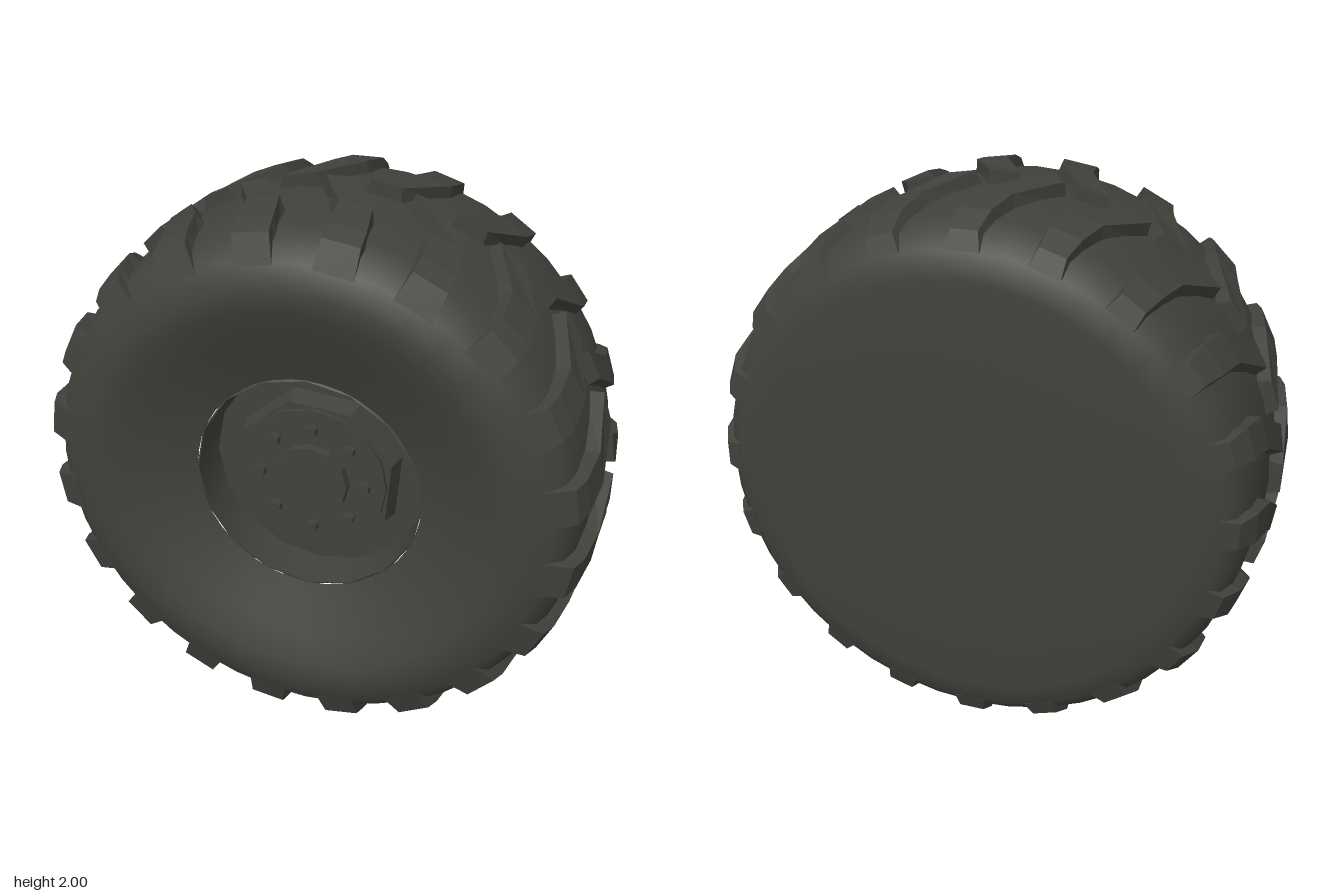
import * as THREE from 'three';
import { toCreasedNormals } from 'three/addons/utils/BufferGeometryUtils.js';

const rubber = new THREE.MeshStandardMaterial({ color: 0x40413b });
rubber.name = 'darkRubber';

function part(name, geometry, parent) {
  const mesh = new THREE.Mesh(geometry, rubber);
  mesh.name = name;
  parent.add(mesh);
  return mesh;
}

// Revolve [radius, z] pairs about the wheel axis (z)
function revolve(profile, segments) {
  const points = profile.map(([r, z]) => new THREE.Vector2(r, z));
  return new THREE.LatheGeometry(points, segments).rotateX(Math.PI / 2);
}

// Cylinder or cone frustum along z, from z0 to z1
function disc(r0, r1, z0, z1, sides, turn = 0) {
  const g = new THREE.CylinderGeometry(r1, r0, z1 - z0, sides);
  g.rotateY(turn).rotateX(Math.PI / 2).translate(0, 0, (z0 + z1) / 2);
  return toCreasedNormals(g, 0.5);
}

// Lug cross-sections from tread centre to shoulder:
// base z, base radius, top z, top radius, angular shift, base and top half-width
const FRONT_LUG = [
  [0, 0.93, 0, 1.0, 0.15, 0.075, 0.052],
  [0.22, 0.92, 0.21, 0.993, 0.03, 0.082, 0.058],
  [0.37, 0.885, 0.35, 0.971, 0.005, 0.082, 0.063],
  [0.452, 0.85, 0.415, 0.945, 0, 0.08, 0.066],
];
// Back lugs fade into the shoulder
const BACK_LUG = [
  [0, 0.93, 0, 1.0, 0.15, 0.075, 0.052],
  [0.22, 0.92, 0.21, 0.988, 0.03, 0.082, 0.058],
  [0.36, 0.885, 0.34, 0.967, 0.005, 0.08, 0.058],
  [0.445, 0.86, 0.42, 0.922, 0, 0.065, 0.05],
];

// Bent tread lug; side is +1 for the front half, -1 for the back half
function lugGeometry(sections, side) {
  const rings = sections.map(([zb, rb, zt, rt, shift, wb, wt]) =>
    [[rb, -wb, zb], [rb, wb, zb], [rt, wt, zt], [rt, -wt, zt]].map(([r, a, z]) =>
      [r * Math.cos(shift + a), r * Math.sin(shift + a), side * z]));
  const pos = [];
  const quad = (a, b, c, d) => {
    const order = side > 0 ? [a, b, c, a, c, d] : [a, c, b, a, d, c];
    order.forEach((p) => pos.push(...p));
  };
  for (let i = 0; i < rings.length - 1; i++) {
    const a = rings[i], b = rings[i + 1];
    for (let j = 0; j < 4; j++) {
      const k = (j + 1) % 4;
      quad(a[j], b[j], b[k], a[k]);
    }
  }
  const first = rings[0], last = rings[rings.length - 1];
  quad(first[0], first[1], first[2], first[3]);
  quad(last[3], last[2], last[1], last[0]);
  const g = new THREE.BufferGeometry();
  g.setAttribute('position', new THREE.Float32BufferAttribute(pos, 3));
  g.computeVertexNormals();
  return g;
}

export function createModel() {
  const model = new THREE.Group();
  model.name = 'tractorWheel';
  const wheel = new THREE.Group();
  wheel.name = 'wheel';
  wheel.position.y = 1;
  model.add(wheel);

  // Tyre body: closed flat back, rounded tread, shallow conical dish in front
  part('tyreBody', revolve([
    [0, -0.475], [0.45, -0.474], [0.77, -0.468], [0.86, -0.442], [0.91, -0.4],
    [0.937, -0.33], [0.95, -0.2], [0.957, 0], [0.95, 0.2], [0.937, 0.33],
    [0.91, 0.4], [0.86, 0.446], [0.77, 0.475], [0.7, 0.465], [0.6, 0.424],
    [0.5, 0.38], [0.41, 0.345],
  ], 40), wheel);

  // Tread lugs: two staggered rings of twenty
  const count = 20, pitch = (Math.PI * 2) / count;
  const lugRings = [['frontLugs', FRONT_LUG, 1, 0.5], ['backLugs', BACK_LUG, -1, 0]];
  for (const [name, sections, side, stagger] of lugRings) {
    const geometry = lugGeometry(sections, side);
    const ring = new THREE.Group();
    ring.name = name;
    wheel.add(ring);
    for (let i = 0; i < count; i++) {
      part('treadLug', geometry, ring).rotation.z = (i + stagger) * pitch;
    }
  }

  // Deep recessed rim: steep wall and flat floor
  part('rim', toCreasedNormals(revolve([
    [0.415, 0.343], [0.408, 0.347], [0.395, 0.2], [0, 0.2],
  ], 16), 0.6), wheel);

  // Hub: octagonal flange, round plate and centre cap
  part('hubFlange', disc(0.315, 0.295, 0.195, 0.272, 8, 0.3), wheel);
  part('hubPlate', disc(0.27, 0.268, 0.25, 0.288, 16), wheel);
  part('hubCap', disc(0.138, 0.135, 0.28, 0.32, 12), wheel);

  // Wheel bolts
  const boltGeometry = disc(0.023, 0.021, 0.28, 0.312, 6);
  for (let i = 0; i < 8; i++) {
    const a = (i * Math.PI) / 4;
    part('wheelBolt', boltGeometry, wheel).position.set(0.193 * Math.cos(a), 0.193 * Math.sin(a), 0);
  }
  return model;
}
